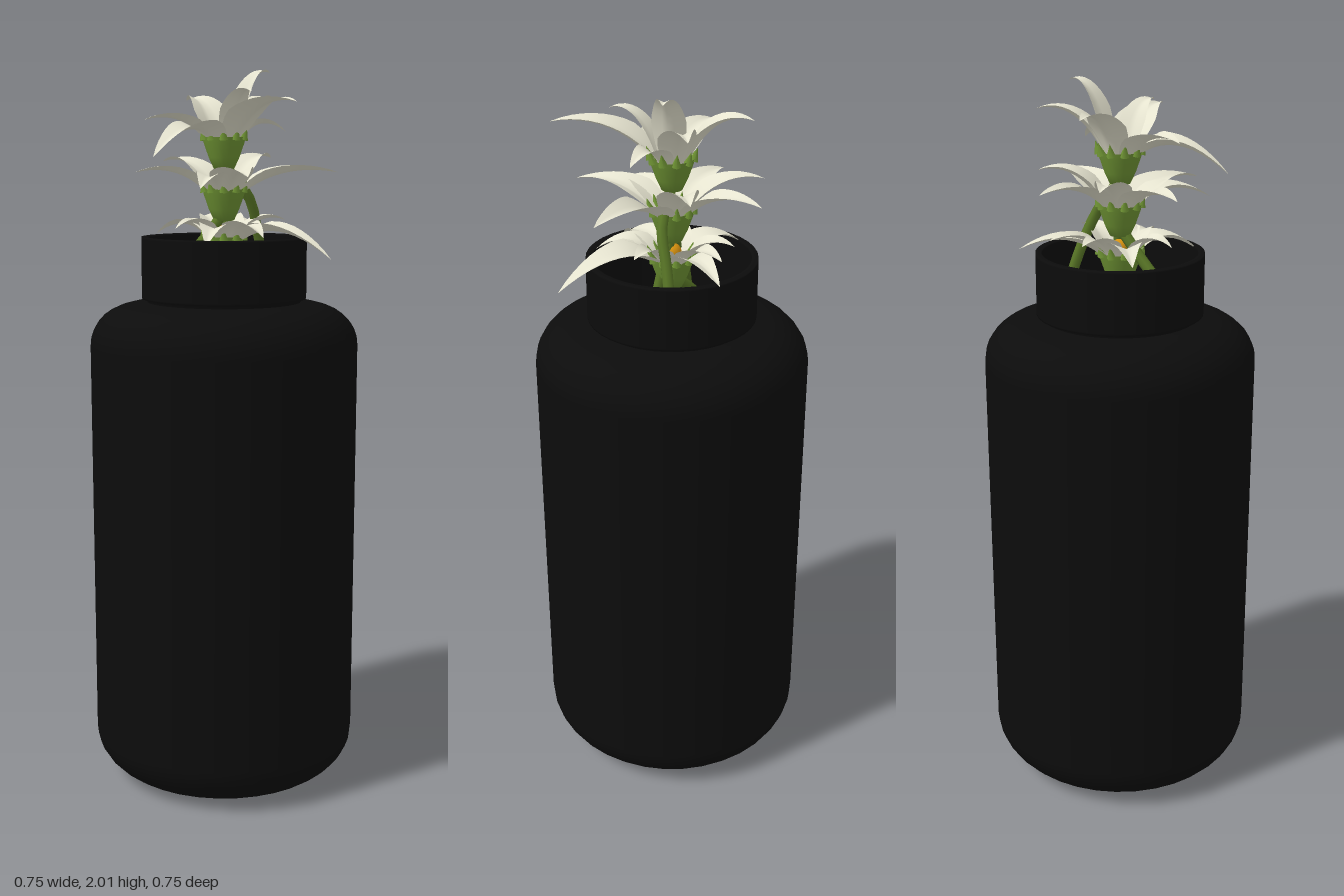
import * as THREE from 'three';

const mat = (name, color, side = THREE.FrontSide) => {
  const m = new THREE.MeshStandardMaterial({ color, side });
  m.name = name;
  return m;
};

// A pointed petal: a plane bent along a curve from base to tip and folded along its middle
function petalGeometry(base, tip, width) {
  const out = new THREE.Vector3(tip.x - base.x, 0, tip.z - base.z);
  const side = new THREE.Vector3(out.z, 0, -out.x).normalize();
  const bend = base.clone().addScaledVector(out, 0.4);
  bend.y = Math.max(tip.y + 0.03, base.y + 0.1);
  const curve = new THREE.QuadraticBezierCurve3(base, bend, tip);
  const geo = new THREE.PlaneGeometry(1, 1, 6, 12);
  const pos = geo.attributes.position;
  for (let i = 0; i < pos.count; i++) {
    const u = pos.getX(i) * 2;
    const t = 0.5 - pos.getY(i);
    const p = curve.getPoint(t);
    const normal = new THREE.Vector3().crossVectors(curve.getTangent(t), side);
    if (normal.y < 0) normal.negate();
    const half = (width / 2) * (t < 0.35
      ? 0.5 + 0.5 * Math.sin((t / 0.35) * Math.PI / 2)
      : Math.pow(1 - (t - 0.35) / 0.65, 0.85));
    p.addScaledVector(side, u * half).addScaledVector(normal, Math.abs(u) * half * 0.4);
    pos.setXYZ(i, p.x, p.y, p.z);
  }
  geo.computeVertexNormals();
  return geo;
}

export function createModel() {
  const model = new THREE.Group();
  const black = mat('black', 0x0c0c0c, THREE.DoubleSide);
  const ivory = mat('ivory', 0xe6e4d0, THREE.DoubleSide);
  const leafGreen = mat('leaf green', 0x6f9434, THREE.DoubleSide);
  const stemGreen = mat('stem green', 0x587526);
  const orange = mat('orange', 0xd8920f);

  const add = (parent, name, geo, material) => {
    const mesh = new THREE.Mesh(geo, material);
    mesh.name = name;
    parent.add(mesh);
    return mesh;
  };
  const lathe = (pts, n) => new THREE.LatheGeometry(pts.map(p => new THREE.Vector2(...p)), n);

  // Bottle body with rounded foot and shoulder
  const profile = new THREE.Path();
  profile.moveTo(0, 0);
  profile.lineTo(0.225, 0);
  profile.bezierCurveTo(0.31, 0.005, 0.375, 0.06, 0.375, 0.13);
  profile.lineTo(0.375, 1.255);
  profile.bezierCurveTo(0.375, 1.32, 0.32, 1.37, 0.235, 1.372);
  profile.lineTo(0.215, 1.375);
  add(model, 'bottleBody', new THREE.LatheGeometry(profile.getPoints(8), 36), black);

  // Open neck ring and the inner wall
  add(model, 'neck', lathe([[0.215, 1.37], [0.215, 1.385], [0.23, 1.385], [0.23, 1.39],
    [0.23, 1.55], [0.23, 1.555], [0.213, 1.555], [0.213, 1.55], [0.213, 1.38],
    [0.213, 1.3], [0, 1.3]], 36), black);

  // Each flower: rim height and petal tips as x, y, z, width
  const flowers = [
    { name: 'topFlower', y: 1.82, tips: [
      [-0.05, 1.93, -0.205, 0.11], [0.185, 1.93, -0.125, 0.1], [0.145, 2.0, -0.04, 0.09],
      [0.165, 1.84, 0.04, 0.09], [0.105, 1.91, 0.295, 0.12], [0.025, 1.94, 0.165, 0.08],
      [-0.24, 1.77, 0.16, 0.13], [-0.22, 1.87, -0.02, 0.11]] },
    { name: 'middleFlower', y: 1.68, tips: [
      [0.04, 1.74, -0.265, 0.11], [0.18, 1.77, -0.13, 0.11], [0.31, 1.73, 0.07, 0.13],
      [-0.025, 1.72, 0.295, 0.12], [-0.13, 1.69, 0.22, 0.11], [-0.24, 1.73, -0.05, 0.11],
      [-0.12, 1.76, -0.21, 0.1]] },
    { name: 'bottomFlower', y: 1.55, tips: [
      [0.235, 1.5, 0.22, 0.13], [0.175, 1.57, -0.21, 0.1], [0.09, 1.6, -0.18, 0.09],
      [-0.16, 1.56, -0.13, 0.1], [-0.11, 1.54, 0.2, 0.11], [0.17, 1.6, 0.03, 0.09],
      [-0.02, 1.6, -0.17, 0.09], [-0.15, 1.58, 0.04, 0.09], [0.05, 1.56, 0.2, 0.1]] },
  ];
  for (const { name, y, tips } of flowers) {
    const flower = new THREE.Group();
    flower.name = name;
    model.add(flower);

    for (const [x, ty, z, width] of tips) {
      const r = Math.hypot(x, z);
      const base = new THREE.Vector3(x / r * 0.035, y - 0.02, z / r * 0.035);
      add(flower, 'petal', petalGeometry(base, new THREE.Vector3(x, ty, z), width), ivory);
    }

    // Green cup with small teeth around its rim
    add(flower, 'calyx', lathe([[0, y - 0.085], [0.028, y - 0.08], [0.042, y - 0.05],
      [0.056, y - 0.01], [0.06, y + 0.005]], 20), leafGreen);
    for (let i = 0; i < 10; i++) {
      const a = i / 10 * Math.PI * 2;
      const tooth = add(flower, 'calyxTooth', new THREE.ConeGeometry(0.013, 0.035, 6), leafGreen);
      tooth.position.set(Math.cos(a) * 0.061, y + 0.015, Math.sin(a) * 0.061);
      tooth.rotation.z = -Math.cos(a) * 0.3;
      tooth.rotation.x = Math.sin(a) * 0.3;
    }

    // Orange heart
    const heart = add(flower, 'heart', new THREE.SphereGeometry(0.026, 12, 8), orange);
    heart.position.set(0, y + 0.015, 0);
  }

  // Stems leaning into the neck
  const stems = [
    [[0, 1.75, 0], [0.075, 1.66, -0.005], [0.11, 1.56, -0.035], [0.17, 1.32, -0.085]],
    [[0, 1.62, 0], [-0.06, 1.55, 0.01], [-0.13, 1.47, 0.02], [-0.19, 1.32, 0.03]],
    [[0, 1.5, 0], [-0.05, 1.45, -0.03], [-0.1, 1.39, -0.055], [-0.15, 1.32, -0.08]],
    [[0, 1.62, 0], [0.03, 1.5, 0.02], [0.05, 1.4, 0.035], [0.07, 1.32, 0.05]],
  ];
  for (const pts of stems) {
    const curve = new THREE.CatmullRomCurve3(pts.map(p => new THREE.Vector3(...p)));
    add(model, 'stem', new THREE.TubeGeometry(curve, 12, 0.015, 8), stemGreen);
  }

  return model;
}
